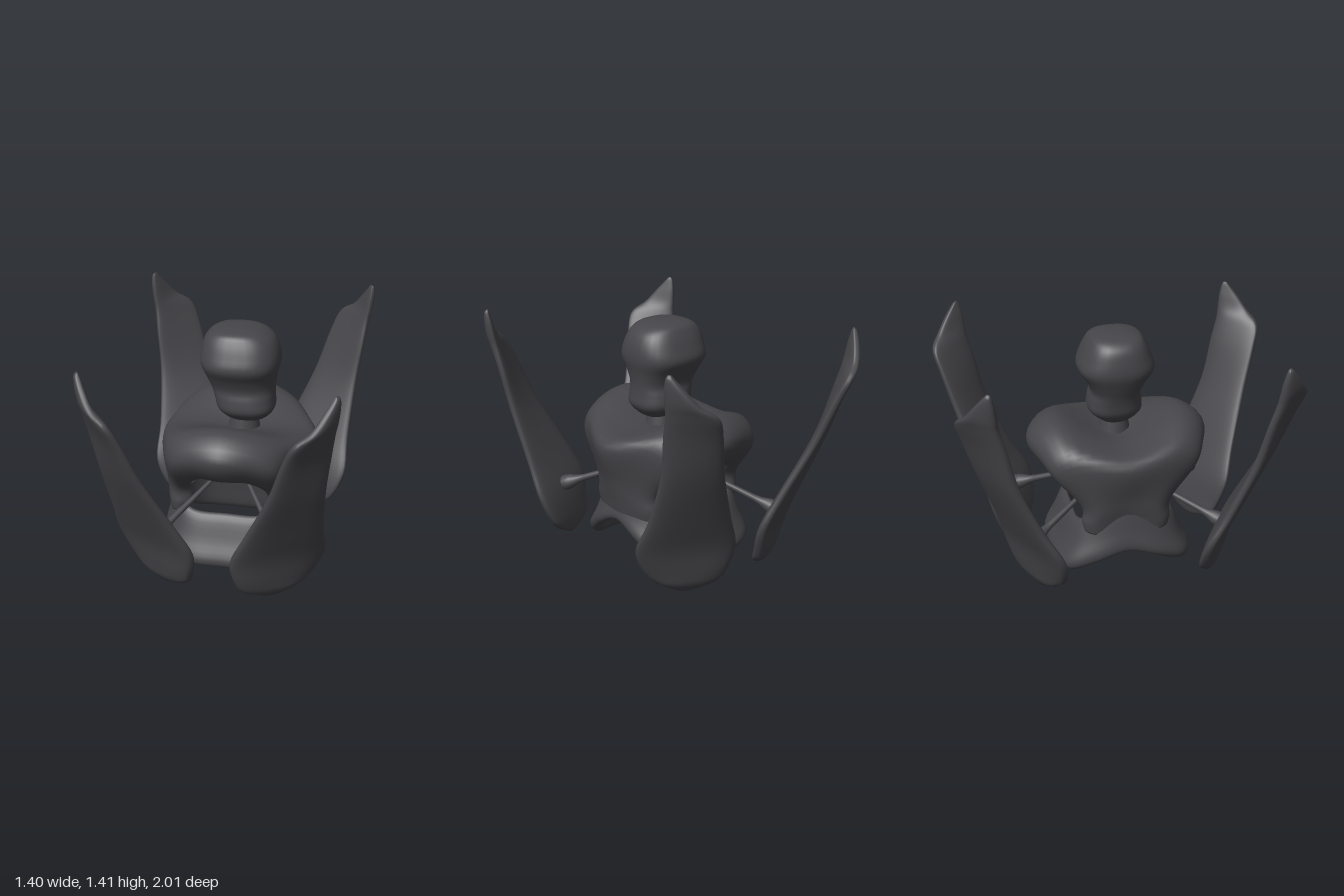
import * as THREE from 'three';

const dark = new THREE.MeshStandardMaterial({ color: 0x464549 });
dark.name = 'charcoal';

// smooth curve through points, sampled at n + 1 steps (n when closed)
function spline(pts, n, closed) {
  const c = new THREE.CatmullRomCurve3(pts, closed, 'catmullrom', 0.5);
  return Array.from({ length: closed ? n : n + 1 }, (_, i) => c.getPoint(i / n));
}

// smooth the key sections lengthwise and skin them into a surface facing outward;
// a looped loft joins its ends, otherwise they are capped
function loft(keys, steps, name, loop = false) {
  const lines = keys[0].map((_, j) => spline(keys.map((k) => k[j]), steps, loop));
  const rings = lines[0].map((_, i) => lines.map((l) => l[i]));
  const n = keys[0].length, pts = rings.flat(), idx = [];
  for (let i = 0; i < (loop ? rings.length : rings.length - 1); i++) {
    const next = ((i + 1) % rings.length) * n;
    for (let j = 0; j < n; j++) {
      const a = i * n + j, b = i * n + (j + 1) % n;
      const c = next + j, d = next + (j + 1) % n;
      idx.push(a, c, b, b, c, d);
    }
  }
  (loop ? [] : [0, rings.length - 1]).forEach((r, e) => {
    const mid = new THREE.Vector3();
    rings[r].forEach((p) => mid.addScaledVector(p, 1 / n));
    const m = pts.push(mid) - 1;
    for (let j = 0; j < n; j++) {
      const a = r * n + j, b = r * n + (j + 1) % n;
      if (e) idx.push(m, b, a); else idx.push(m, a, b);
    }
  });
  let volume = 0;
  for (let t = 0; t < idx.length; t += 3) {
    volume += pts[idx[t]].dot(new THREE.Vector3().crossVectors(pts[idx[t + 1]], pts[idx[t + 2]]));
  }
  if (volume < 0) idx.reverse();
  const g = new THREE.BufferGeometry().setFromPoints(pts);
  g.setIndex(idx);
  g.computeVertexNormals();
  const mesh = new THREE.Mesh(g, dark);
  mesh.name = name;
  return mesh;
}

const soft = (v, e) => Math.sign(v) * Math.abs(v) ** e;

// body: padded arch over an opening that runs front to back, open below
// inner x y, shoulder x y, middle x y, half depth, shoulder depth, rim position, inner middle x
function makeBody() {
  const half = [
    [0, 0.61, 0, 0.93, 0, 0.79, 0.53, 0.68, 0.58, 0],
    [0.12, 0.6, 0.23, 0.88, 0.25, 0.8, 0.48, 0.7, 0.58, 0.16],
    [0.2, 0.55, 0.365, 0.77, 0.48, 0.76, 0.41, 0.7, 0.58, 0.29],
    [0.225, 0.46, 0.37, 0.5, 0.43, 0.52, 0.265, 0.7, 0.5, 0.33],
    [0.22, 0.38, 0.36, 0.38, 0.4, 0.39, 0.26, 0.75, 0.5, 0.33],
    [0.24, 0.35, 0.35, 0.31, 0.385, 0.31, 0.25, 0.75, 0.5, 0.335],
  ];
  const section = ([ix, iy, ox, oy, cx, cy, z, oz, k, jx], s) => {
    const P = (x, y, d) => new THREE.Vector3(x * s, y, d * z);
    const rx = ix + (ox - ix) * k, ry = iy + (oy - iy) * k;
    const mx = s < 0 ? cx * 0.87 : cx;
    return spline([
      P(mx, cy, 0), P(ox, oy, oz), P(rx, ry, 1), P(ix, iy, 0.72),
      P(jx, iy, 0), P(ix, iy, -0.72), P(rx, ry, -1), P(ox, oy, -oz),
    ], 40, true);
  };
  const keys = half.map((h) => section(h, 1)).reverse();
  half.slice(1).forEach((h) => keys.push(section(h, -1)));
  return loft(keys, 60, 'body');
}

// base: band around the open underside, flared into a foot at front and back
// and arched up at both sides
function makeBase() {
  const outline = [
    [-0.06, 0], [-0.02, 0.05], [0.035, 0.48], [0.085, 0.83],
    [0.06, 1], [-0.01, 0.95], [-0.04, 0.48],
  ];
  // x, z, facing angle from the front, top, bottom, flare
  const quarter = [
    [0, 0.33, 0, 0.34, 0.05, 1],
    [0.18, 0.325, 0.08, 0.34, 0.052, 1],
    [0.29, 0.27, 0.5, 0.37, 0.075, 0.95],
    [0.345, 0.16, 1.1, 0.42, 0.19, 0.6],
    [0.36, 0, Math.PI / 2, 0.45, 0.27, 0.4],
  ];
  const section = ([x, z, a, top, bottom, flare], sx, sz) => spline(outline.map(([o, h]) => {
    // the right-hand arch hangs lower
    const low = sx < 0 && x > 0.3 ? bottom - (bottom - 0.05) * 0.32 : bottom;
    return new THREE.Vector3(
      (x + Math.sin(a) * o * flare) * sx, top + (low - top) * h, (z + Math.cos(a) * o * flare) * sz);
  }), 28, true);
  const keys = [];
  [[1, 1], [1, -1], [-1, -1], [-1, 1]].forEach(([sx, sz]) => {
    const part = quarter.map((q) => section(q, sx, sz));
    if (sx * sz < 0) part.reverse();
    keys.push(...part.slice(0, -1));
  });
  return loft(keys, 80, 'base', true);
}

// head: y, centre x, half width, half depth
function makeHead() {
  const keys = [
    [0.855, 0.06, 0.06, 0.05], [0.87, 0.065, 0.11, 0.09], [0.93, 0.065, 0.165, 0.155],
    [1.0, 0.055, 0.175, 0.155], [1.06, 0.045, 0.185, 0.145], [1.13, 0.035, 0.205, 0.175],
    [1.21, 0.03, 0.228, 0.222], [1.29, 0.03, 0.222, 0.2], [1.36, 0.025, 0.195, 0.168],
    [1.4, 0.02, 0.14, 0.135], [1.418, 0.02, 0.06, 0.06],
  ].map(([y, cx, w, d]) => Array.from({ length: 32 }, (_, i) => {
    const a = (i / 32) * Math.PI * 2;
    return new THREE.Vector3(cx + w * soft(Math.cos(a), 0.8), y, d * soft(Math.sin(a), 0.8));
  }));
  return loft(keys, 40, 'head');
}

// wing panel, flatter on its inner face: y, outer edge x z, inner edge x z, thickness
function makePanel(sx, sz) {
  // the right-hand panels sit slightly closer in
  const shift = sx > 0 ? 0.01 : -0.025;
  const keys = [
    [0.005, 0.35, 0.51, 0.28, 0.55, 0.015],
    [0.06, 0.45, 0.46, 0.16, 0.62, 0.05],
    [0.14, 0.53, 0.42, 0.125, 0.665, 0.06],
    [0.3, 0.6, 0.44, 0.11, 0.715, 0.06],
    [0.5, 0.6, 0.55, 0.2, 0.77, 0.055],
    [0.8, 0.62, 0.68, 0.34, 0.87, 0.05],
    [1.05, 0.65, 0.74, 0.425, 0.95, 0.045],
    [1.18, 0.665, 0.775, 0.485, 0.985, 0.045],
    [1.25, 0.675, 0.785, 0.575, 0.945, 0.04],
    [1.33, 0.685, 0.795, 0.63, 0.895, 0.032],
    [1.39, 0.69, 0.81, 0.665, 0.85, 0.02],
    [1.41, 0.685, 0.82, 0.675, 0.835, 0.006],
  ].map(([y, ax, az, bx, bz, t]) => {
    const hx = (bx - ax) / 2, hz = (bz - az) / 2, len = Math.hypot(hx, hz);
    return Array.from({ length: 28 }, (_, i) => {
      const a = (i / 28) * Math.PI * 2, s = soft(Math.sin(a), 0.7);
      const u = soft(Math.cos(a), 0.75), v = t * s * (s < 0 ? 0.5 : 1);
      const x = (ax + bx) / 2 + hx * u + (hz / len) * v;
      const z = (az + bz) / 2 + hz * u - (hx / len) * v + shift;
      return new THREE.Vector3(x * sx, y, z * sz);
    });
  });
  return loft(keys, 55, 'wingPanel');
}

// strut: thin rod from the core swelling to a socket at the panel
function makeStrut(sx, sz) {
  const start = new THREE.Vector3(0, 0.585, 0);
  const dir = new THREE.Vector3(0.385 * sx, 0.3, 0.6 * sz).sub(start);
  const len = dir.length();
  const profile = [
    [0, 0], [0.01, 0], [0.014, 0.4], [0.02, 0.74], [0.025, 0.8],
    [0.042, 0.87], [0.047, 0.91], [0.042, 1], [0, 1],
  ].map(([r, h]) => new THREE.Vector2(r, h * len));
  const strut = new THREE.Mesh(new THREE.LatheGeometry(profile, 16), dark);
  strut.position.copy(start);
  strut.quaternion.setFromUnitVectors(new THREE.Vector3(0, 1, 0), dir.normalize());
  strut.name = 'strut';
  return strut;
}

export function createModel() {
  const model = new THREE.Group();
  model.name = 'model';
  const neck = new THREE.Mesh(new THREE.CylinderGeometry(0.075, 0.1, 0.14, 24), dark);
  neck.position.set(0.05, 0.82, 0);
  neck.name = 'neck';
  model.add(makeBody(), makeBase(), neck, makeHead());
  for (const sx of [1, -1]) {
    for (const sz of [1, -1]) model.add(makePanel(sx, sz), makeStrut(sx, sz));
  }
  return model;
}
